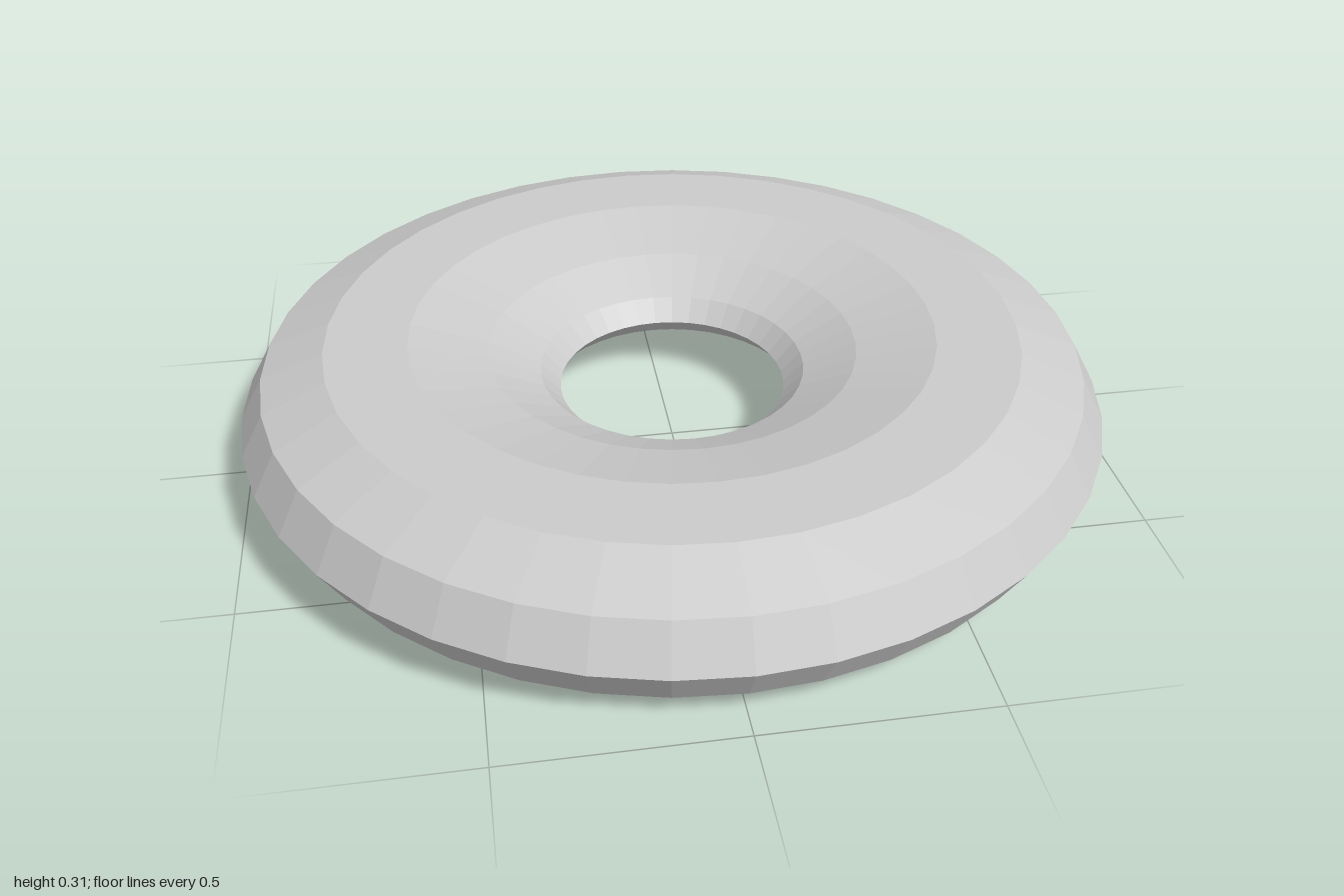
import * as THREE from 'three';

const SIDES = 40;
const MID = 0.155; // height of the mirror plane

export function createModel() {
  const group = new THREE.Group();
  group.name = 'ring';

  // upper half of the section from the hole to the rim: radius, height above mid plane
  const upper = [
    [0.265, 0], [0.31, 0.048], [0.43, 0.107], [0.61, 0.155],
    [0.8, 0.155], [0.945, 0.098], [1, 0],
  ];

  // closed section: underside outward, then the top back inward
  const bottom = upper.map(([r, h]) => new THREE.Vector2(r, MID - h));
  const top = upper.slice(0, -1).reverse().map(([r, h]) => new THREE.Vector2(r, MID + h));

  const body = new THREE.Mesh(
    new THREE.LatheGeometry([...bottom, ...top], SIDES),
    new THREE.MeshStandardMaterial({ color: 0xcccccc, flatShading: true }),
  );
  body.name = 'ringBody';
  group.add(body);
  return group;
}
